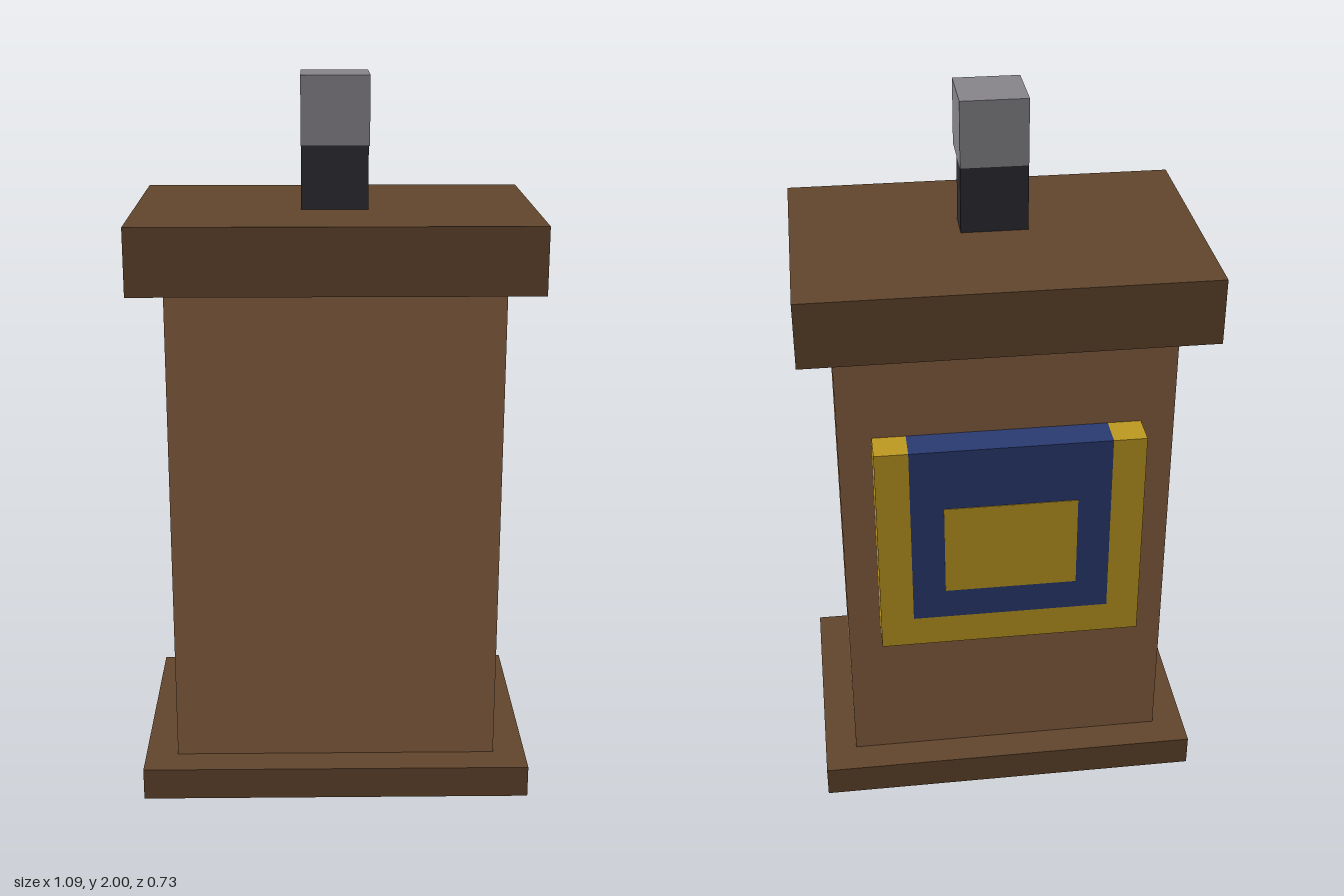
import * as THREE from 'three';

const U = 1 / 11; // grid unit: the model is 22 units tall

function material(name, color) {
  const m = new THREE.MeshStandardMaterial({ color });
  m.name = name;
  return m;
}

export function createModel() {
  const darkWood = material('dark wood', 0x62452d);
  const wood = material('wood', 0x8a6242);
  const black = material('black', 0x2d2d34);
  const grey = material('grey', 0x88868b);
  const gold = material('gold', 0xc09b20);
  const blue = material('blue', 0x2b3b73);

  const root = new THREE.Group();
  root.name = 'lectern';

  // Box between two corners given in grid units
  const box = (name, mat, [x0, y0, z0], [x1, y1, z1], parent = root) => {
    const geo = new THREE.BoxGeometry((x1 - x0) * U, (y1 - y0) * U, (z1 - z0) * U);
    const mesh = new THREE.Mesh(geo, mat);
    mesh.name = name;
    mesh.position.set((x0 + x1) * U / 2, (y0 + y1) * U / 2, (z0 + z1) * U / 2);
    parent.add(mesh);
  };

  // Stand
  box('base', darkWood, [-6, 0, -4], [6, 1, 4]);
  box('column', wood, [-5, 1, -3], [5, 16, 3]);
  box('top', darkWood, [-6, 16, -4], [6, 18, 4]);

  // Microphone
  const mic = new THREE.Group();
  mic.name = 'microphone';
  root.add(mic);
  box('microphoneStem', black, [-1, 18, 0], [1, 20, 1], mic);
  box('microphoneHead', grey, [-1, 20, 0], [1, 22, 2], mic);

  // Plaque on the back: gold border open at the top, blue field, gold centre
  const plaque = new THREE.Group();
  plaque.name = 'plaque';
  root.add(plaque);
  box('plaqueBottom', gold, [-4, 6, -4], [4, 7, -3], plaque);
  box('plaqueLeft', gold, [3, 7, -4], [4, 13, -3], plaque);
  box('plaqueRight', gold, [-4, 7, -4], [-3, 13, -3], plaque);
  box('plaqueField', blue, [-3, 7, -4], [3, 13, -3], plaque);
  box('plaqueCentre', gold, [-2, 8, -4.02], [2, 11, -3.98], plaque);

  return root;
}
